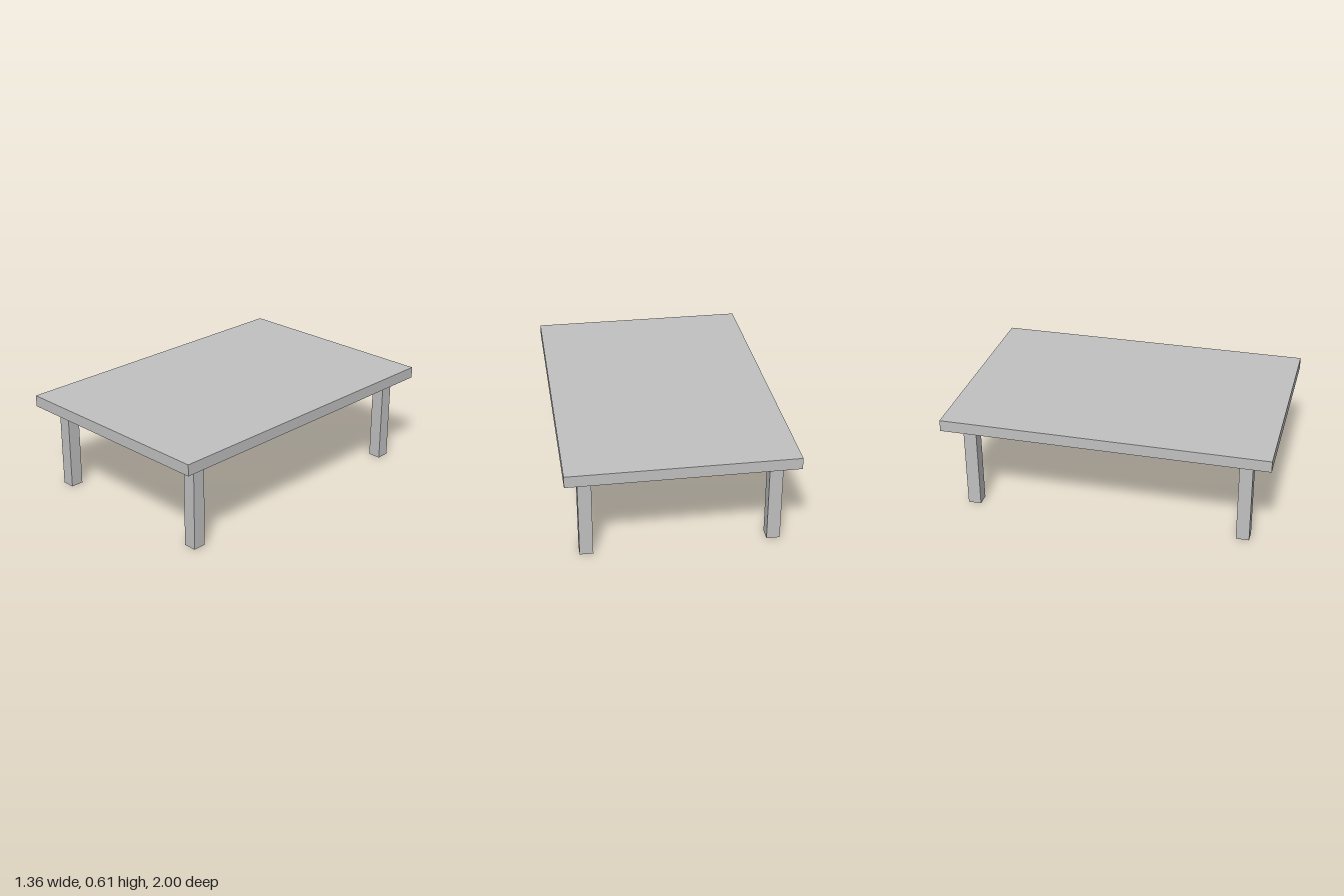
import * as THREE from 'three';

export function createModel() {
  const table = new THREE.Group();
  table.name = 'table';

  const grey = new THREE.MeshStandardMaterial({ color: 0xc0c0c0 });
  grey.name = 'plain grey';

  const legHeight = 0.54, topThickness = 0.07, legSide = 0.08;

  // Flat rectangular slab
  const top = new THREE.Mesh(new THREE.BoxGeometry(1.356, topThickness, 2), grey);
  top.name = 'tableTop';
  top.position.y = legHeight + topThickness / 2;
  table.add(top);

  // Four square legs, set in from the corners
  const legGeometry = new THREE.BoxGeometry(legSide, legHeight, legSide);
  for (const [endName, sz] of [['front', 1], ['back', -1]]) {
    for (const [sideName, sx] of [['Left', 1], ['Right', -1]]) {
      const leg = new THREE.Mesh(legGeometry, grey);
      leg.name = `${endName}${sideName}Leg`;
      leg.position.set(sx * 0.558, legHeight / 2, sz * 0.845);
      table.add(leg);
    }
  }

  return table;
}
